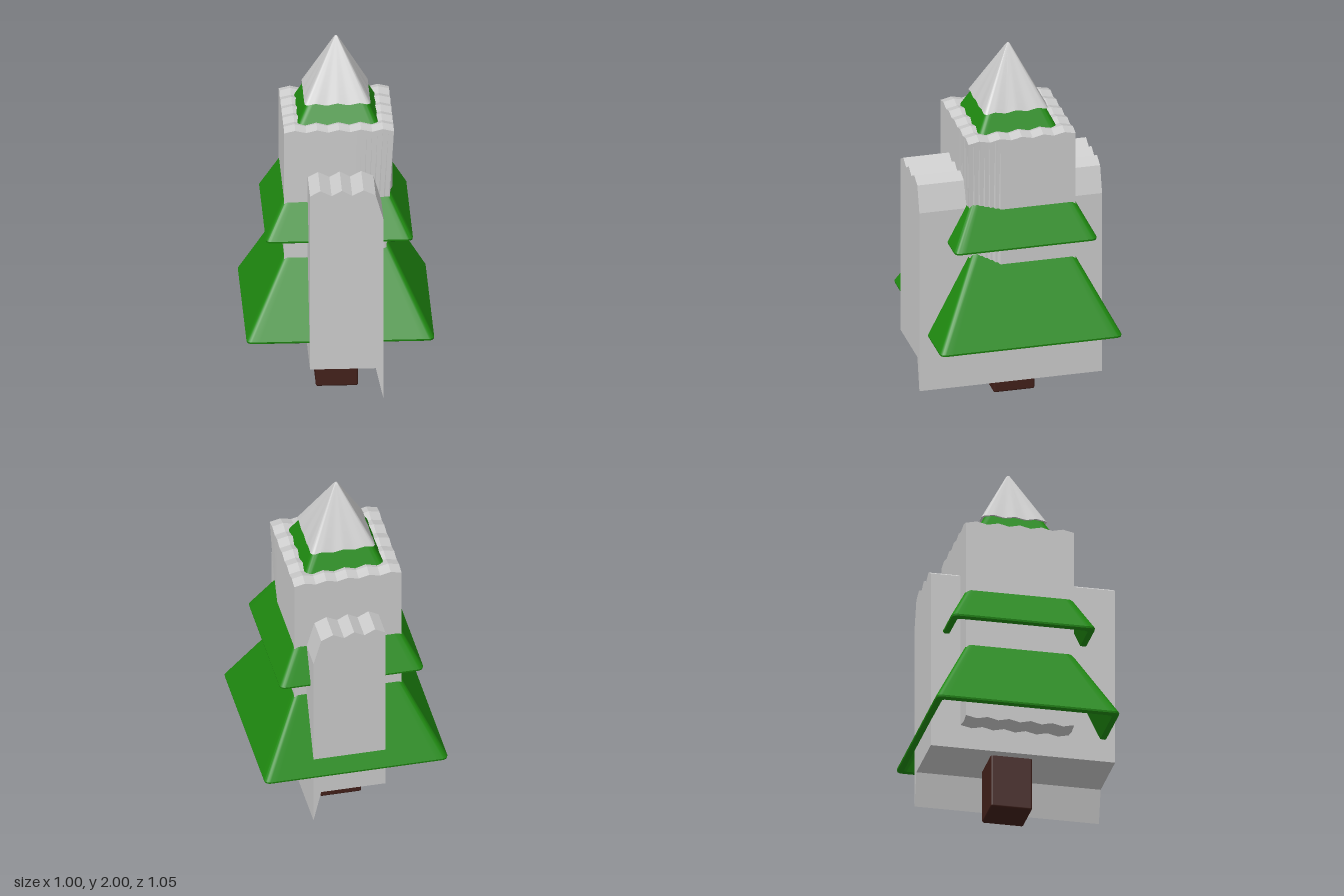
import * as THREE from 'three';
import { toCreasedNormals, mergeVertices } from 'three/addons/utils/BufferGeometryUtils.js';
import { RoundedBoxGeometry } from 'three/addons/geometries/RoundedBoxGeometry.js';

const MID_Z = -0.022;
const PITCH = 0.117;
const grey = new THREE.MeshStandardMaterial({ color: 0xcccccc });
const green = new THREE.MeshStandardMaterial({ color: 0x1f8a10 });
const brown = new THREE.MeshStandardMaterial({ color: 0x42201a });

// Triangle wave from -1 to 1 with a peak at 0
const zigzag = (s) => {
  const f = Math.abs(s / PITCH - Math.round(s / PITCH));
  return 1 - 4 * f;
};
const ramp = (v, from, to) => THREE.MathUtils.clamp((v - from) / (to - from), 0, 1);

function part(name, geometry, material) {
  const mesh = new THREE.Mesh(geometry, material);
  mesh.name = name;
  return mesh;
}

// Outline of a rounded square: straight sides with steps, then a rounded corner
function roundedSquare(half, radius, sideSteps = 24, cornerSteps = 5) {
  const points = [];
  const r = Math.min(radius, half * 0.5);
  const flat = half - r;
  for (let side = 0; side < 4; side++) {
    const turn = side * Math.PI / 2;
    const c = Math.cos(turn), s = Math.sin(turn);
    const add = (x, z, along) => points.push({ x: x * c - z * s, z: x * s + z * c, along });
    for (let i = 0; i < sideSteps; i++) {
      const z = -flat + 2 * flat * i / sideSteps;
      add(half, z, z);
    }
    for (let i = 0; i < cornerSteps; i++) {
      const a = i / cornerSteps * Math.PI / 2;
      add(flat + r * Math.cos(a), flat + r * Math.sin(a), flat);
    }
  }
  return points;
}

// Skin through square rings given as [half width, height, corner radius, wave height]
function loft(rings) {
  const positions = [], index = [];
  let n = 0;
  for (const [half, y, radius, wave = 0] of rings) {
    const outline = roundedSquare(half, radius);
    n = outline.length;
    for (const p of outline) {
      positions.push(p.x, y + wave * zigzag(p.along), p.z + MID_Z);
    }
  }
  for (let i = 0; i < rings.length - 1; i++) {
    for (let j = 0; j < n; j++) {
      const k = (j + 1) % n;
      const a = i * n + j, b = i * n + k, c = a + n, d = b + n;
      index.push(a, c, b, b, c, d);
    }
  }
  const geometry = new THREE.BufferGeometry();
  geometry.setAttribute('position', new THREE.Float32BufferAttribute(positions, 3));
  geometry.setIndex(index);
  return toCreasedNormals(mergeVertices(geometry, 1e-5), 0.5);
}

// Hollow sloping skirt of branches with a rounded rim
function tier(name, half, y, height) {
  const top = half - height * 0.5;
  return part(name, loft([
    [top - 0.03, y + height, 0.015],
    [half - 0.035, y + 0.003, 0.02],
    [half - 0.012, y, 0.025],
    [half - 0.002, y + 0.005, 0.03],
    [half, y + 0.015, 0.03],
    [top, y + height, 0.02],
  ]), green);
}

// Square tower with ridged top and bottom, pinched towards one lower front corner
function tower() {
  const geometry = new THREE.BoxGeometry(0.585, 1.165, 0.59, 20, 1, 20);
  const p = geometry.attributes.position;
  for (let i = 0; i < p.count; i++) {
    let x = p.getX(i), z = p.getZ(i);
    const up = p.getY(i) > 0;
    const wave = 0.007 * (zigzag(x) + zigzag(z));
    const y = up ? 1.576 + wave : 0.42 - wave;
    if (!up) {
      const pinch = ramp(x, 0.1, 0.29) * ramp(z, 0.12, 0.295);
      x -= 0.065 * pinch;
      z -= 0.035 * pinch;
    }
    p.setXYZ(i, x + 0.002, y, z + MID_Z);
  }
  return part('tower', toCreasedNormals(geometry, 0.2), grey);
}

// Long slab through the tower: zigzag roof and a pointed drip along one lower edge
function slab() {
  const shape = new THREE.Shape([
    [-0.165, 0.297], [0.185, 0.297], [0.227, 0.115], [0.227, 1.16], [0.185, 1.305],
    [0.12, 1.335], [0.06, 1.305], [0.005, 1.335], [-0.05, 1.305], [-0.11, 1.335], [-0.165, 1.305],
  ].map(([x, y]) => new THREE.Vector2(x, y)));
  const geometry = new THREE.ExtrudeGeometry(shape, { depth: 1.005, bevelEnabled: false });
  geometry.translate(0, 0, -0.48);
  return part('slab', geometry, grey);
}

export function createModel() {
  const model = new THREE.Group();
  model.name = 'snowyTree';

  const trunk = part('trunk', new RoundedBoxGeometry(0.225, 0.5, 0.225, 2, 0.01), brown);
  trunk.position.set(0, 0.25, -0.027);

  model.add(
    trunk,
    slab(),
    tower(),
    tier('lowerBranches', 0.5, 0.425, 0.55),
    tier('middleBranches', 0.392, 0.96, 0.34),
    // Top branches peeking out of the tower
    part('topBranches', loft([
      [0.25, 1.5, 0.03], [0.165, 1.67, 0.025], [0.1, 1.8, 0.02],
    ]), green),
    // Pointed snow cap with a wavy hem
    part('snowCap', loft([
      [0.1, 1.69, 0.02],
      [0.165, 1.672, 0.02, 0.006],
      [0.176, 1.672, 0.02, 0.006],
      [0.014, 1.984, 0.01],
      [0.007, 1.995, 0.006],
      [0.0005, 2.0, 0.0002],
    ]), grey),
  );
  return model;
}
